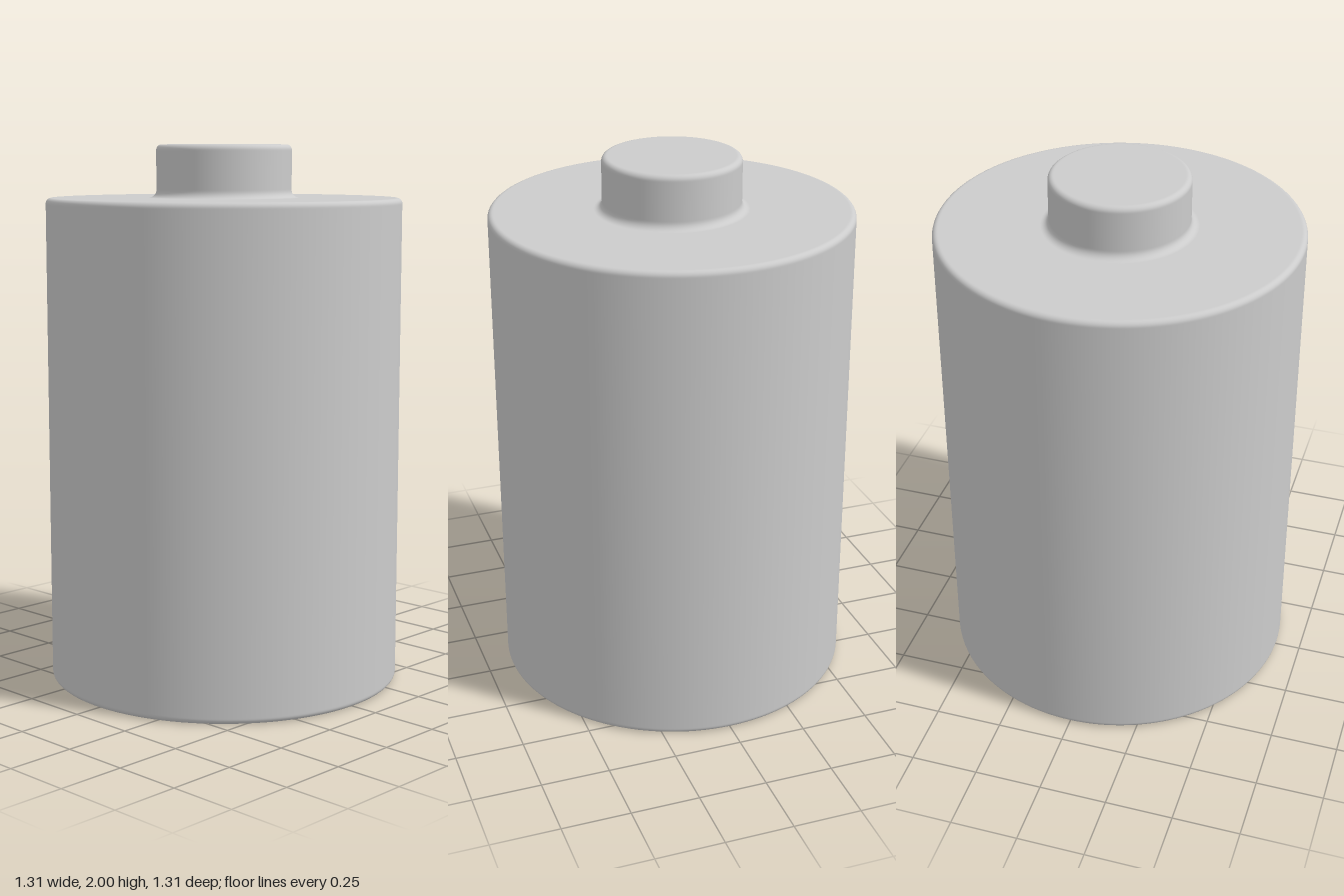
import * as THREE from 'three';

const BODY_R = 0.657, BODY_TOP = 1.806, EDGE = 0.02;
const CAP_R = 0.25, CAP_TOP = 2, FOOT = 0.028;

// Quarter-round section points about (cx, cy), from angle a to angle b in degrees
function arc(cx, cy, r, a, b, steps = 8) {
  return Array.from({ length: steps + 1 }, (_, i) => {
    const t = THREE.MathUtils.degToRad(a + (b - a) * i / steps);
    return new THREE.Vector2(cx + r * Math.cos(t), cy + r * Math.sin(t));
  });
}

const p = (x, y) => new THREE.Vector2(x, y);

function lathe(name, profile) {
  const material = new THREE.MeshStandardMaterial({ color: 0xcccccc });
  const mesh = new THREE.Mesh(new THREE.LatheGeometry(profile, 128), material);
  mesh.name = name;
  return mesh;
}

export function createModel() {
  const group = new THREE.Group();
  group.name = 'battery';

  // Main cylinder; extra points beside each rounded edge keep the flats flat
  const inner = BODY_R - EDGE, e = 0.004;
  group.add(lathe('body', [
    p(0, 0), p(inner - e, 0),
    ...arc(inner, EDGE, EDGE, -90, 0),
    p(BODY_R, EDGE + e), p(BODY_R, BODY_TOP - EDGE - e),
    ...arc(inner, BODY_TOP - EDGE, EDGE, 0, 90),
    p(inner - e, BODY_TOP), p(CAP_R + FOOT, BODY_TOP),
  ]));

  // Raised terminal with a flared foot and a rounded top edge
  const capInner = CAP_R - EDGE;
  group.add(lathe('terminal', [
    p(CAP_R + FOOT + e, BODY_TOP),
    ...arc(CAP_R + FOOT, BODY_TOP + FOOT, FOOT, 270, 180),
    p(CAP_R, BODY_TOP + FOOT + e), p(CAP_R, CAP_TOP - EDGE - e),
    ...arc(capInner, CAP_TOP - EDGE, EDGE, 0, 90),
    p(capInner - e, CAP_TOP), p(0, CAP_TOP),
  ]));

  return group;
}
